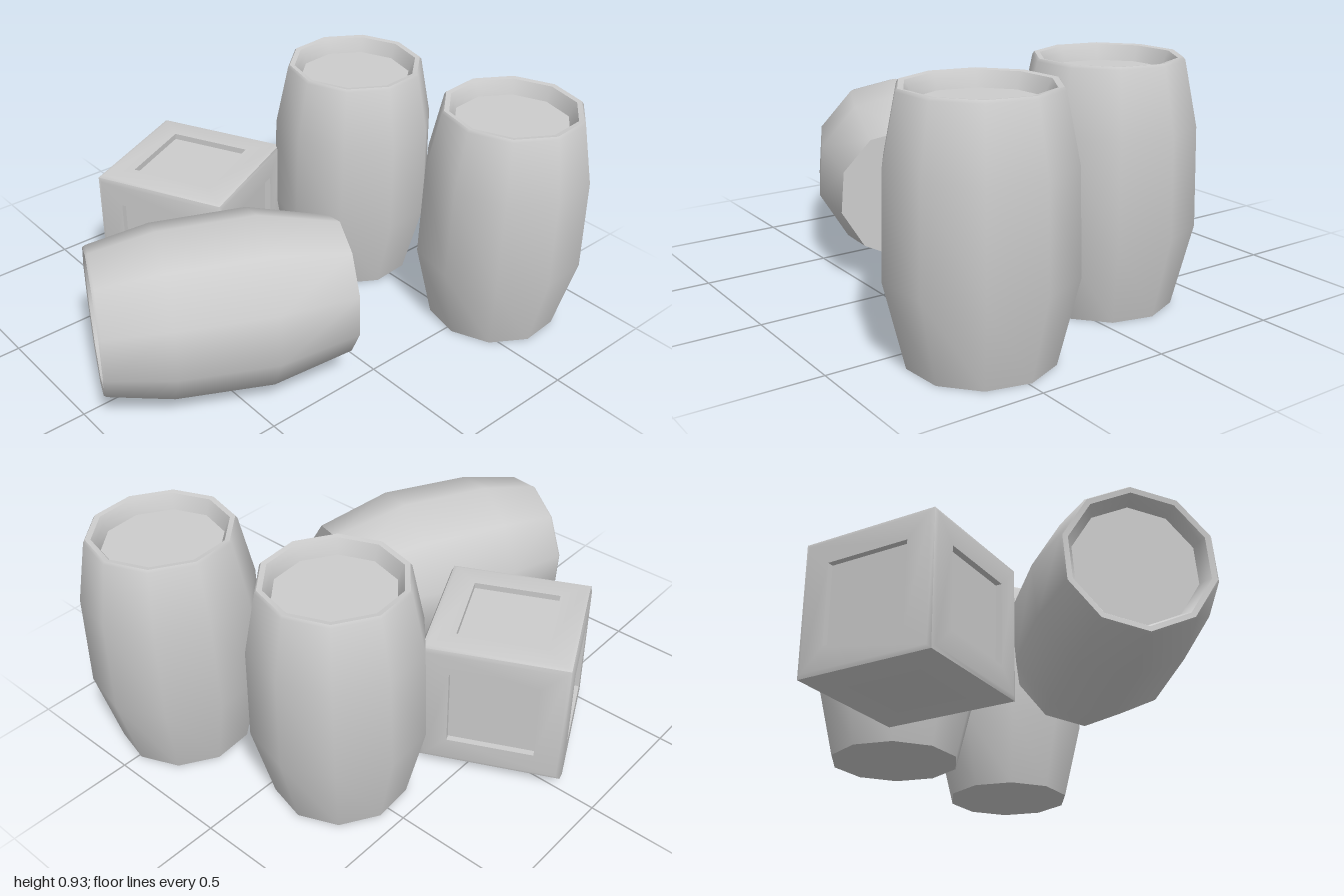
import * as THREE from 'three';
import { toCreasedNormals, mergeGeometries } from 'three/addons/utils/BufferGeometryUtils.js';

const grey = new THREE.MeshStandardMaterial({ color: 0xcccccc });
grey.name = 'plain grey';

const toPoints = (list) => list.map(([r, y]) => new THREE.Vector2(r, y));

// Ten-sided bulging barrel with a raised rim around a sunken lid
function barrelGeometry() {
  const profile = toPoints([
    [0, 0], [0.26, 0], [0.335, 0.31], [0.326, 0.68], [0.277, 0.92],
    [0.27, 0.93], [0.25, 0.927], [0.237, 0.905], [0.225, 0.87], [0, 0.87],
  ]);
  return toCreasedNormals(new THREE.LatheGeometry(profile, 10, 0.08), 0.75);
}

// One square crate face: profile of [half width, height] swept round four corners
function faceGeometry(profile) {
  const points = toPoints(profile.map(([w, y]) => [w * Math.SQRT2, y]));
  return new THREE.LatheGeometry(points, 4, Math.PI / 4);
}

// Crate with bevelled edges, a sunken panel on the top and sides, and a plain base
function crateGeometry() {
  const h = 0.28, bevel = 0.022, panel = 0.168, depth = 0.025;
  const edge = [[h - 0.3 * bevel, h - 0.3 * bevel], [h - bevel, h]];
  const panelled = [...edge, [panel, h], [panel, h - depth], [0, h - depth]];
  const faces = [
    faceGeometry(panelled),
    faceGeometry([...edge, [0, h]]).rotateX(Math.PI),
  ];
  for (let i = 0; i < 4; i++) {
    faces.push(faceGeometry(panelled).rotateX(Math.PI / 2).rotateY(i * Math.PI / 2));
  }
  return toCreasedNormals(mergeGeometries(faces), 0.6);
}

export function createModel() {
  const model = new THREE.Group();
  model.name = 'barrelsAndCrate';

  const add = (name, geometry, x, y, z) => {
    const mesh = new THREE.Mesh(geometry, grey);
    mesh.name = name;
    mesh.position.set(x, y, z);
    model.add(mesh);
    return mesh;
  };

  // Two standing barrels at the back
  const barrel = barrelGeometry();
  add('standingBarrelRight', barrel, -0.175, 0, -0.485);
  add('standingBarrelLeft', barrel, 0.508, 0, -0.667);

  // Barrel lying on its side, lid towards the front
  const lying = add('lyingBarrel', barrel, 0.352, 0.36, 0.055);
  lying.rotation.set(Math.PI / 2, -0.436, 0, 'YXZ');

  // Crate, slightly lower than it is wide
  const crate = add('crate', crateGeometry(), -0.475, 0.297, 0.142);
  crate.rotation.y = 0.45;
  crate.scale.y = 0.957;

  return model;
}
